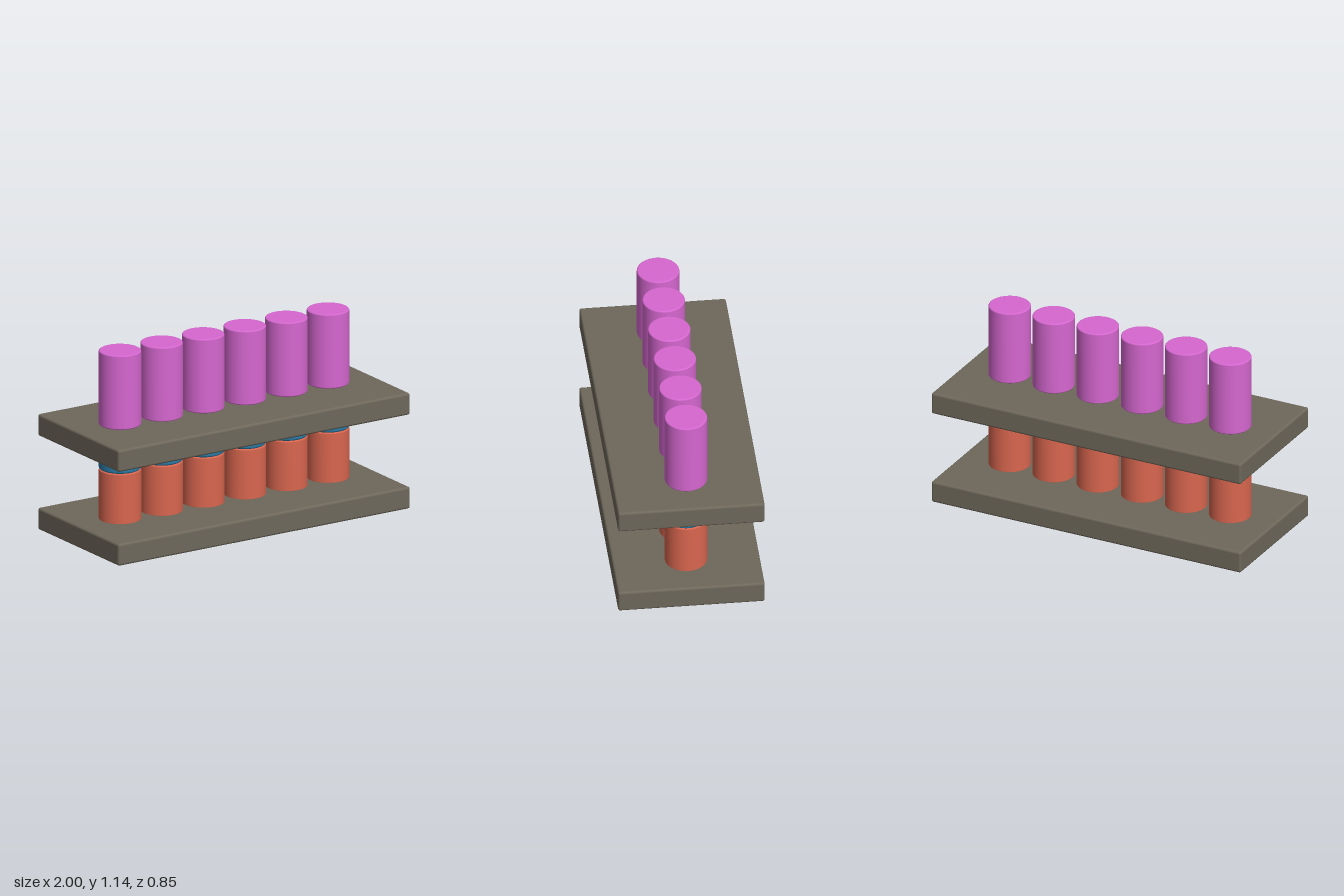
import * as THREE from 'three';
import { RoundedBoxGeometry } from 'three/addons/geometries/RoundedBoxGeometry.js';

const COUNT = 6, SPACING = 0.285, RADIUS = 0.122;

const paint = (color) => new THREE.MeshStandardMaterial({ color });

// Solid cylinder standing on y = 0 with small rounded rims
function roundedCylinder(radius, height, bevel) {
  const profile = [new THREE.Vector2(0, 0), new THREE.Vector2(radius - bevel * 1.3, 0)];
  const addRim = (cy, start) => {
    for (let i = 0; i <= 4; i++) {
      const a = start + (i / 4) * Math.PI / 2;
      profile.push(new THREE.Vector2(radius - bevel + bevel * Math.cos(a), cy + bevel * Math.sin(a)));
    }
  };
  addRim(bevel, -Math.PI / 2);
  addRim(height - bevel, 0);
  profile.push(new THREE.Vector2(radius - bevel * 1.3, height), new THREE.Vector2(0, height));
  return new THREE.LatheGeometry(profile, 48);
}

export function createModel() {
  const model = new THREE.Group();
  model.name = 'tubeRack';

  // Lower and upper boards
  const boardMaterial = paint(0x6e685b);
  const addBoard = (name, bottom, top) => {
    const geometry = new RoundedBoxGeometry(2, top - bottom, 0.845, 4, 0.014);
    const board = new THREE.Mesh(geometry, boardMaterial);
    board.name = name;
    board.position.y = (bottom + top) / 2;
    model.add(board);
  };
  addBoard('lowerBoard', 0, 0.131);
  addBoard('upperBoard', 0.563, 0.694);

  // Rows of six cylinders: bodies, their caps, and the tall tubes on top
  const addRow = (name, bottom, top, bevel, color) => {
    const row = new THREE.Group();
    row.name = name + 'Row';
    const geometry = roundedCylinder(RADIUS, top - bottom, bevel);
    const material = paint(color);
    for (let i = 0; i < COUNT; i++) {
      const mesh = new THREE.Mesh(geometry, material);
      mesh.name = name;
      mesh.position.set((i - (COUNT - 1) / 2) * SPACING, bottom, 0);
      row.add(mesh);
    }
    model.add(row);
  };
  addRow('lowerCylinder', 0.125, 0.43, 0.008, 0xd9664f);
  addRow('cylinderCap', 0.43, 0.506, 0.012, 0x2a7aa5);
  addRow('upperCylinder', 0.695, 1.14, 0.008, 0xd667d0);

  return model;
}
